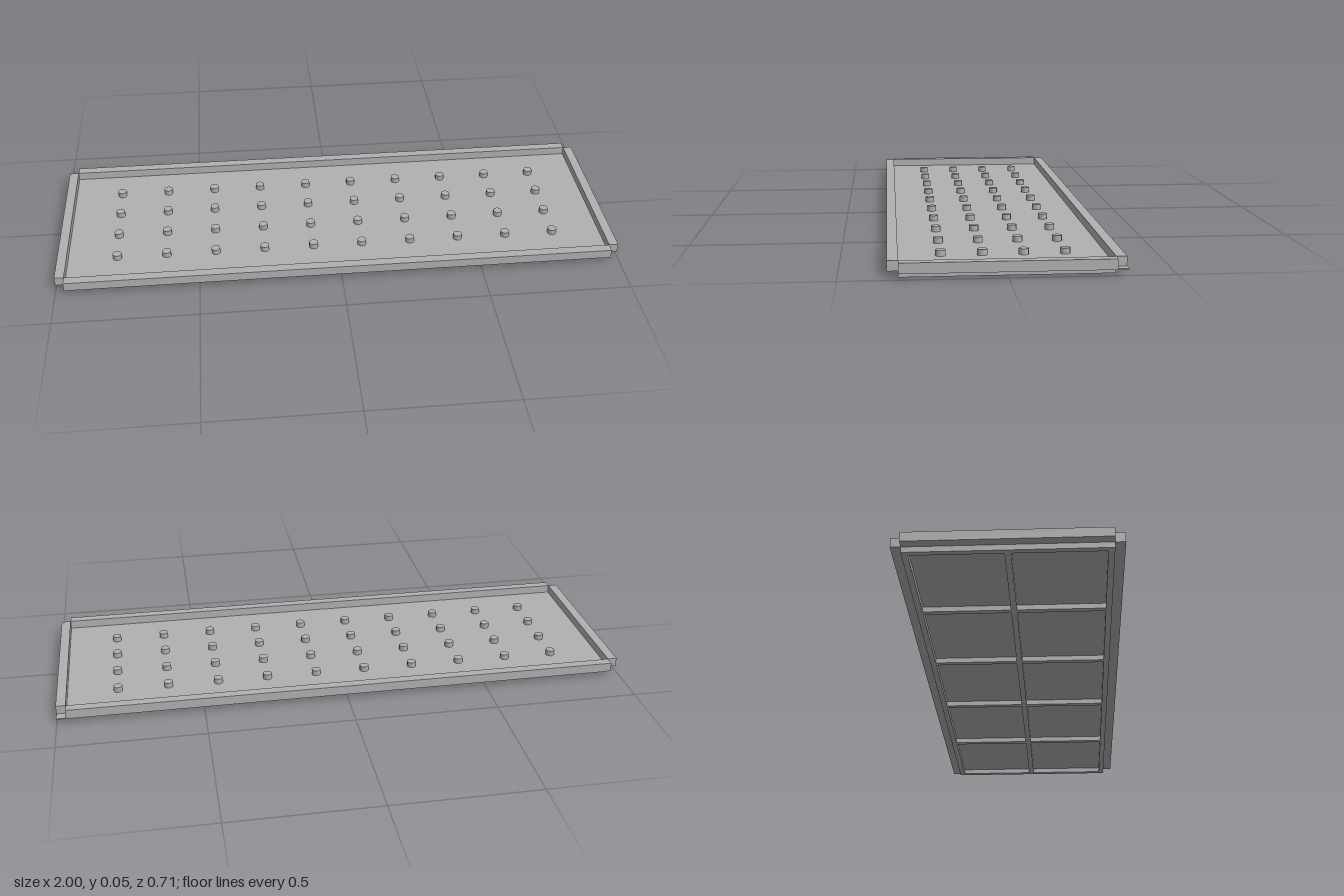
import * as THREE from 'three';

export function createModel() {
  const model = new THREE.Group();
  const grey = new THREE.MeshStandardMaterial({ color: 0xb0b0b0 });
  grey.name = 'plainGrey';

  // Box given by its lower and upper corners
  const box = (name, x0, x1, y0, y1, z0, z1) => {
    const mesh = new THREE.Mesh(new THREE.BoxGeometry(x1 - x0, y1 - y0, z1 - z0), grey);
    mesh.position.set((x0 + x1) / 2, (y0 + y1) / 2, (z0 + z1) / 2);
    mesh.name = name;
    model.add(mesh);
  };

  const X = 0.967, Z = 0.322, OX = 1, OZ = 0.355; // base and outer half sizes
  const FLOOR = 0.0215, TOP = 0.051, RIM = 0.02;

  // Tray floor, and the thin sheet whose corner shows as a tab
  box('floor', -X, X, 0.0182, FLOOR, -Z, Z);
  box('shiftedSheet', -X + 0.033, OX, 0.018, 0.0213, -OZ, Z - 0.033);

  // Raised side walls with open corners
  box('frontWall', -X, X, 0.019, TOP, Z, OZ);
  box('backWall', -X, X, 0.019, TOP, -OZ, -Z);
  box('leftWall', X, OX, 0.019, TOP, -Z, Z);
  box('rightWall', -OX, -X, 0.019, TOP, -Z, Z);

  // Rim under the floor
  for (const s of [-1, 1]) {
    const zc = s * (Z - RIM / 2), xc = s * (X - RIM / 2);
    box('longRim', -X, X, 0, 0.019, zc - RIM / 2, zc + RIM / 2);
    box('endRim', xc - RIM / 2, xc + RIM / 2, 0, 0.019, -Z + RIM, Z - RIM);
  }

  // Ribs dividing the underside into two rows of five cells
  box('longRib', -X + RIM, X - RIM, 0, 0.019, -0.01, 0.01);
  for (let i = 1; i < 5; i++) {
    const x = -X + (2 * X * i) / 5;
    for (const s of [-1, 1]) {
      box('crossRib', x - 0.01, x + 0.01, 0, 0.019, s < 0 ? -Z + RIM : 0.01, s < 0 ? -0.01 : Z - RIM);
    }
  }

  // Grid of small studs
  const studGeometry = new THREE.CylinderGeometry(0.016, 0.016, 0.02, 10);
  for (let i = 0; i < 10; i++) {
    for (let j = 0; j < 4; j++) {
      const stud = new THREE.Mesh(studGeometry, grey);
      stud.position.set((i - 4.5) * 0.176, FLOOR + 0.009, (j - 1.5) * 0.129 - 0.003);
      stud.name = 'stud';
      model.add(stud);
    }
  }
  return model;
}
